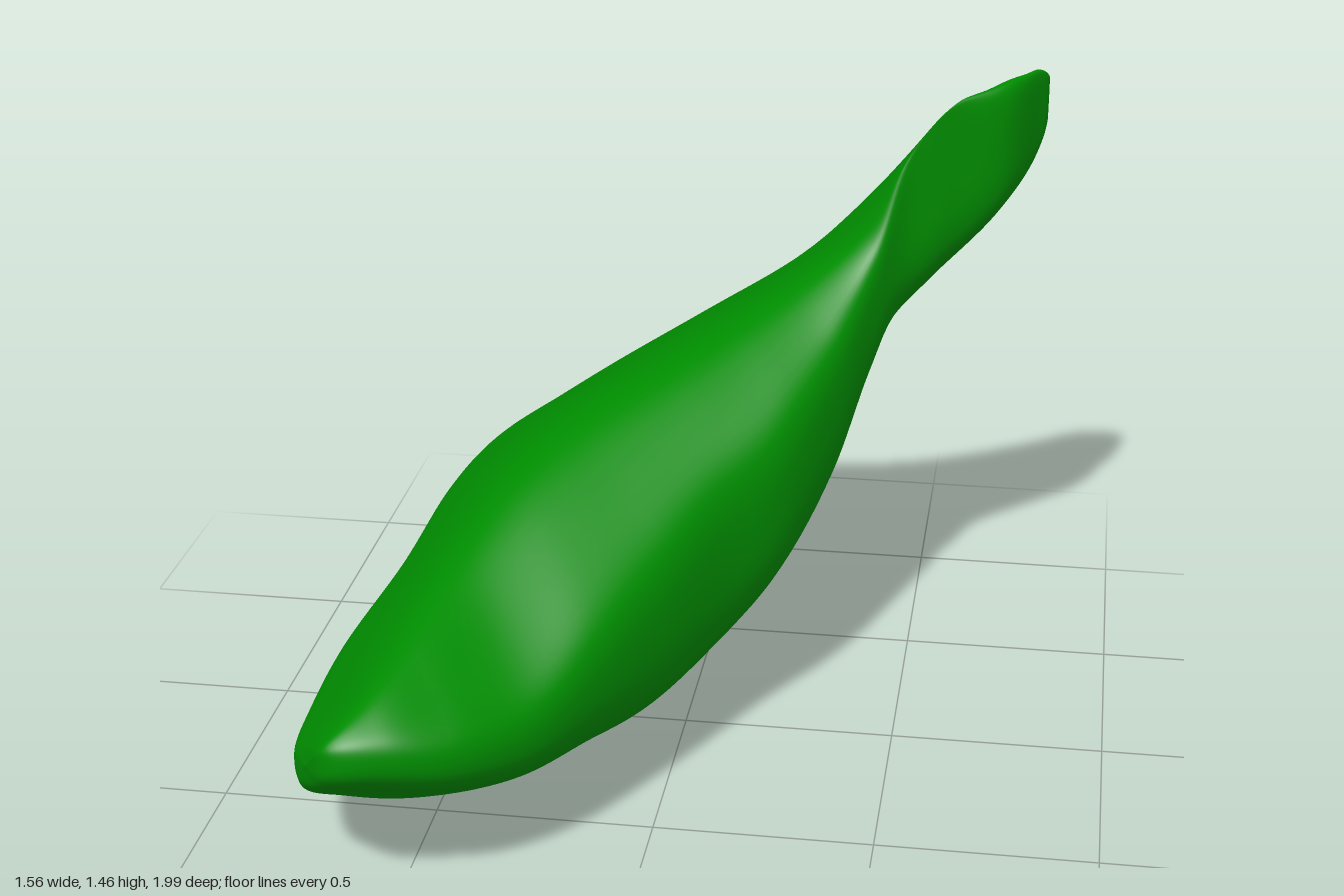
import * as THREE from 'three';

const AROUND = 72, ALONG = 140;
const ANGLE = THREE.MathUtils.degToRad(35);   // heading of the long axis
const RISE = 0.88;                            // height share of the two leaning directions

// Sections along the body, tip to stem: position v, then low/high limits
// across (u), and along the two leaning directions; last, a dip behind the stem.
const SECTIONS = [
  [-1.06, 0.24, 0.465, -0.59, -0.50, -0.31, -0.06, 0],
  [-0.95, 0.00, 0.52, -0.63, -0.41, -0.52, -0.015, 0],
  [-0.80, -0.20, 0.535, -0.67, -0.28, -0.64, -0.02, 0],
  [-0.60, -0.35, 0.485, -0.68, -0.12, -0.71, -0.04, 0],
  [-0.40, -0.56, 0.40, -0.645, 0.045, -0.755, 0.0, 0],
  [-0.20, -0.77, 0.30, -0.606, 0.155, -0.81, 0.03, 0],
  [0.00, -0.89, 0.20, -0.52, 0.226, -0.82, 0.065, 0],
  [0.20, -0.95, 0.13, -0.39, 0.295, -0.755, 0.105, 0],
  [0.40, -0.926, 0.015, -0.19, 0.36, -0.61, 0.16, 0],
  [0.55, -0.83, -0.08, 0.04, 0.425, -0.455, 0.25, 0.02],
  [0.65, -0.71, -0.115, 0.18, 0.55, -0.32, 0.426, 0.155],
  [0.75, -0.575, -0.095, 0.265, 0.64, -0.17, 0.54, 0.19],
  [0.90, -0.405, -0.077, 0.38, 0.705, 0.097, 0.575, 0.10],
  [1.03, -0.325, -0.145, 0.50, 0.715, 0.295, 0.55, 0.02],
  [1.08, -0.26, -0.18, 0.60, 0.695, 0.42, 0.51, 0],
];

function place(v, u, y) {
  const c = Math.cos(ANGLE), s = Math.sin(ANGLE);
  return new THREE.Vector3(c * v + s * u, y + 0.74, -s * v + c * u);
}

// Rounded hexagon inside the six limits of a section, tighter at the stem ridge
function ring([v, u0, u1, a0, a1, b0, b1, dip]) {
  const corners = [
    [u1, (b1 - u1 / 2) / RISE], [b1 - a1, (a1 + b1) / (2 * RISE)],
    [u0, (a1 + u0 / 2) / RISE - dip], [u0, (b0 - u0 / 2) / RISE],
    [b0 - a0, (a0 + b0) / (2 * RISE)], [u1, (a0 + u1 / 2) / RISE],
  ];
  const points = [], steps = AROUND / 6;
  corners.forEach((c, k) => {
    const p = corners[(k + 5) % 6], n = corners[(k + 1) % 6];
    const w = k === 1 ? 1.6 + 7 * dip : 1.6;
    for (let i = 0; i < steps; i++) {
      const t = i / steps;
      const f0 = (1 - t) ** 2, f1 = 2 * w * t * (1 - t), f2 = t * t;
      const at = (d) => (f0 * (p[d] + c[d]) / 2 + f1 * c[d] + f2 * (n[d] + c[d]) / 2) / (f0 + f1 + f2);
      points.push(place(v, at(0), at(1)));
    }
  });
  return points;
}

function bodyGeometry() {
  const rings = SECTIONS.map(ring);
  const tip = place(-1.075, 0.36, -0.41), end = place(1.09, -0.22, 0.64);
  const position = [], index = [], rails = [];
  for (let j = 0; j < AROUND; j++) {
    rails.push(new THREE.CatmullRomCurve3([tip, ...rings.map((r) => r[j]), end]));
  }
  for (let i = 0; i <= ALONG; i++) {
    for (let j = 0; j < AROUND; j++) {
      const p = rails[j].getPoint(i / ALONG);
      // hollow in the cut end of the stem
      if (p.y > 1.2) {
        const along = (p.x - 0.64) * 0.64 - (p.z + 0.66) * 0.77;
        const across = (p.x - 0.64) * 0.77 + (p.z + 0.66) * 0.64;
        const top = THREE.MathUtils.smoothstep(p.y, 1.32, 1.4);
        p.y -= 0.07 * top * Math.exp(-((along / 0.1) ** 4) - (across / 0.04) ** 2);
      }
      position.push(p.x, p.y, p.z);
      if (i < ALONG) {
        const a = i * AROUND + j, c = i * AROUND + (j + 1) % AROUND;
        index.push(a, a + AROUND, c, c, a + AROUND, c + AROUND);
      }
    }
  }
  const g = new THREE.BufferGeometry();
  g.setAttribute('position', new THREE.Float32BufferAttribute(position, 3));
  g.setIndex(index);

  // Centre and stand on the ground
  g.computeBoundingBox();
  const mid = g.boundingBox.getCenter(new THREE.Vector3());
  g.translate(-mid.x, -g.boundingBox.min.y, -mid.z);
  g.computeVertexNormals();
  return g;
}

export function createModel() {
  const model = new THREE.Group();
  model.name = 'pepper';
  const body = new THREE.Mesh(bodyGeometry(), new THREE.MeshStandardMaterial({ color: 0x008c00 }));
  body.name = 'bodyAndStem';
  model.add(body);
  return model;
}
